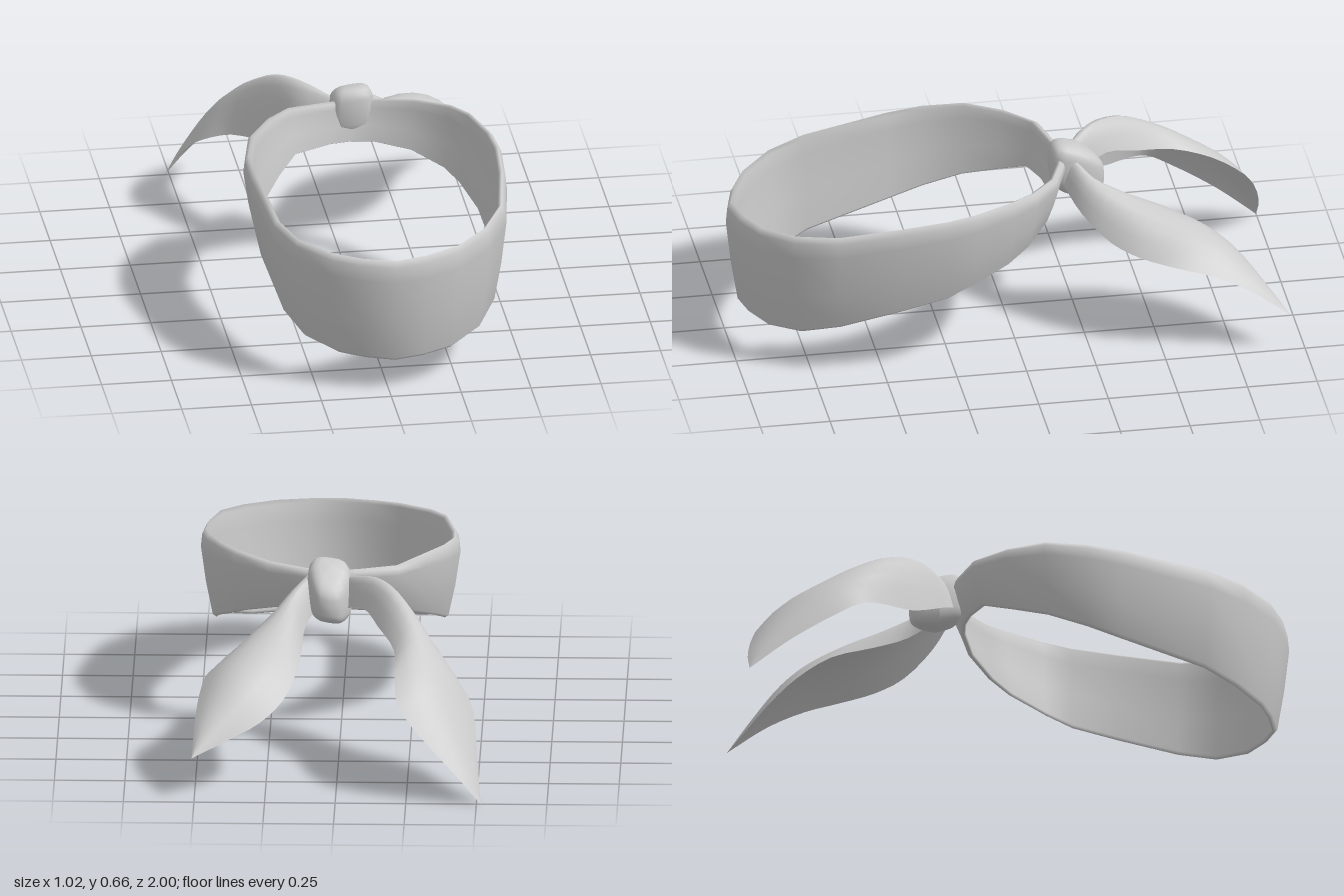
import * as THREE from 'three';

const material = new THREE.MeshStandardMaterial({ color: 0xcccccc, side: THREE.DoubleSide });
const V = (p) => new THREE.Vector3(...p);

// Skin equally long rows of points; optionally closed into a ring with a closed section.
function skin(name, rows, closed = false) {
  const n = rows[0].length, m = rows.length, index = [], open = closed ? 0 : 1;
  for (let i = 0; i < m - open; i++) {
    for (let j = 0; j < n - open; j++) {
      const i2 = (i + 1) % m, j2 = (j + 1) % n;
      const a = i * n + j, b = i2 * n + j, c = i2 * n + j2, d = i * n + j2;
      index.push(a, b, d, b, c, d);
    }
  }
  const geometry = new THREE.BufferGeometry().setFromPoints(rows.flat());
  geometry.setIndex(index);
  geometry.computeVertexNormals();
  const mesh = new THREE.Mesh(geometry, material);
  mesh.name = name;
  return mesh;
}

// Linear lookup in a list of [key, value] pairs sorted by key.
function lookup(table, k) {
  for (let i = 1; i < table.length; i++) {
    const [k0, v0] = table[i - 1], [k1, v1] = table[i];
    if (k <= k1) return v0 + (v1 - v0) * Math.max(0, (k - k0) / (k1 - k0));
  }
  return table[table.length - 1][1];
}

// Sloping loop of folded cloth, wider at the front than at the knot.
function createBand() {
  const outline = [
    [0.02, 0.998], [0.14, 0.975], [0.26, 0.925], [0.38, 0.815], [0.46, 0.67], [0.495, 0.45],
    [0.505, 0.28], [0.49, 0.17], [0.44, 0.03], [0.38, -0.06], [0.26, -0.155], [0.12, -0.205],
    [0.03, -0.215], [-0.06, -0.205], [-0.21, -0.165], [-0.3, -0.06], [-0.38, 0.07], [-0.415, 0.22],
    [-0.412, 0.35], [-0.375, 0.66], [-0.315, 0.8], [-0.2, 0.915], [-0.1, 0.965],
  ].map(([x, z]) => new THREE.Vector2(x, z));
  const top = [[-0.21, 0.615], [-0.1, 0.633], [0.05, 0.635], [0.4, 0.597], [0.8, 0.54], [1, 0.515]];
  const bottom = [[-0.21, 0.47], [0, 0.385], [0.28, 0.29], [0.6, 0.21], [0.85, 0.135], [1, 0.115]];
  // Cross-section: [inset, height fraction]
  const section = [[0.055, 0], [0.042, 0.03], [0.018, 0.4], [0, 0.8], [0.005, 0.94],
    [0.018, 1], [0.03, 0.97], [0.032, 0.8], [0.045, 0.4], [0.062, 0.03]];
  const n = outline.length;
  const rows = outline.map((p, i) => {
    const t = outline[(i + 1) % n].clone().sub(outline[(i + n - 1) % n]).normalize();
    const lo = lookup(bottom, p.y), hi = lookup(top, p.y) + 0.015 * p.x;
    return section.map(([inset, h]) =>
      new THREE.Vector3(p.x + t.y * inset, lo + (hi - lo) * h, p.y - t.x * inset));
  });
  return skin('headband', rows, true);
}

// Arched cloth end running from the knot to a pointed tip.
function createTail(name, inner, ridge, outer) {
  const curves = [inner, ridge, outer].map((c) => new THREE.CatmullRomCurve3(c.map(V)));
  const rows = [], steps = 21, across = 8;
  for (let i = 0; i <= steps; i++) {
    const [a, r, b] = curves.map((c) => c.getPoint(i / steps));
    const control = r.clone().multiplyScalar(2).addScaledVector(a, -0.5).addScaledVector(b, -0.5);
    rows.push(new THREE.QuadraticBezierCurve3(a, control, b).getPoints(across));
  }
  return skin(name, rows);
}

// Boxy wrap of cloth, narrowing and dropping toward the back.
function createKnot() {
  const geometry = new THREE.SphereGeometry(1, 16, 12);
  const p = geometry.attributes.position;
  const soft = (v) => Math.sign(v) * Math.abs(v) ** 0.6;
  for (let i = 0; i < p.count; i++) {
    const x = soft(p.getX(i)), y = soft(p.getY(i)), z = soft(p.getZ(i));
    const taper = z < 0 ? 1 + 0.35 * z : 1;
    p.setXYZ(i, 0.037 + x * 0.08 * taper, 0.548 + y * 0.1 * taper + z * 0.03 + x * 0.01,
      -0.258 + z * 0.1);
  }
  geometry.computeVertexNormals();
  const knot = new THREE.Mesh(geometry, material);
  knot.name = 'knot';
  return knot;
}

export function createModel() {
  const group = new THREE.Group();
  group.name = 'tiedHeadband';
  const rightTip = [-0.515, 0, -1], leftTip = [0.51, 0.145, -0.945];
  group.add(
    createBand(),
    createKnot(),
    createTail('rightTail',
      [[-0.02, 0.5, -0.28], [-0.09, 0.53, -0.39], [-0.14, 0.5, -0.5], [-0.2, 0.46, -0.65],
        [-0.205, 0.41, -0.79], [-0.225, 0.32, -0.91], [-0.43, 0.1, -0.995], rightTip],
      [[-0.03, 0.61, -0.25], [-0.13, 0.63, -0.33], [-0.21, 0.61, -0.44], [-0.29, 0.53, -0.57],
        [-0.34, 0.44, -0.69], [-0.37, 0.35, -0.8], [-0.47, 0.13, -0.93], rightTip],
      [[-0.05, 0.5, -0.21], [-0.15, 0.45, -0.26], [-0.24, 0.39, -0.38], [-0.35, 0.36, -0.52],
        [-0.44, 0.31, -0.6], [-0.48, 0.25, -0.68], [-0.5, 0.13, -0.85], rightTip]),
    createTail('leftTail',
      [[0.08, 0.5, -0.26], [0.12, 0.45, -0.35], [0.13, 0.41, -0.47], [0.145, 0.37, -0.62],
        [0.19, 0.3, -0.74], [0.27, 0.24, -0.82], [0.39, 0.19, -0.885], leftTip],
      [[0.09, 0.63, -0.23], [0.16, 0.57, -0.29], [0.21, 0.52, -0.39], [0.26, 0.475, -0.5],
        [0.31, 0.425, -0.64], [0.36, 0.37, -0.74], [0.44, 0.26, -0.85], leftTip],
      [[0.11, 0.52, -0.2], [0.2, 0.45, -0.25], [0.31, 0.38, -0.34], [0.39, 0.355, -0.43],
        [0.46, 0.34, -0.55], [0.485, 0.31, -0.67], [0.5, 0.25, -0.8], leftTip]),
  );
  return group;
}
